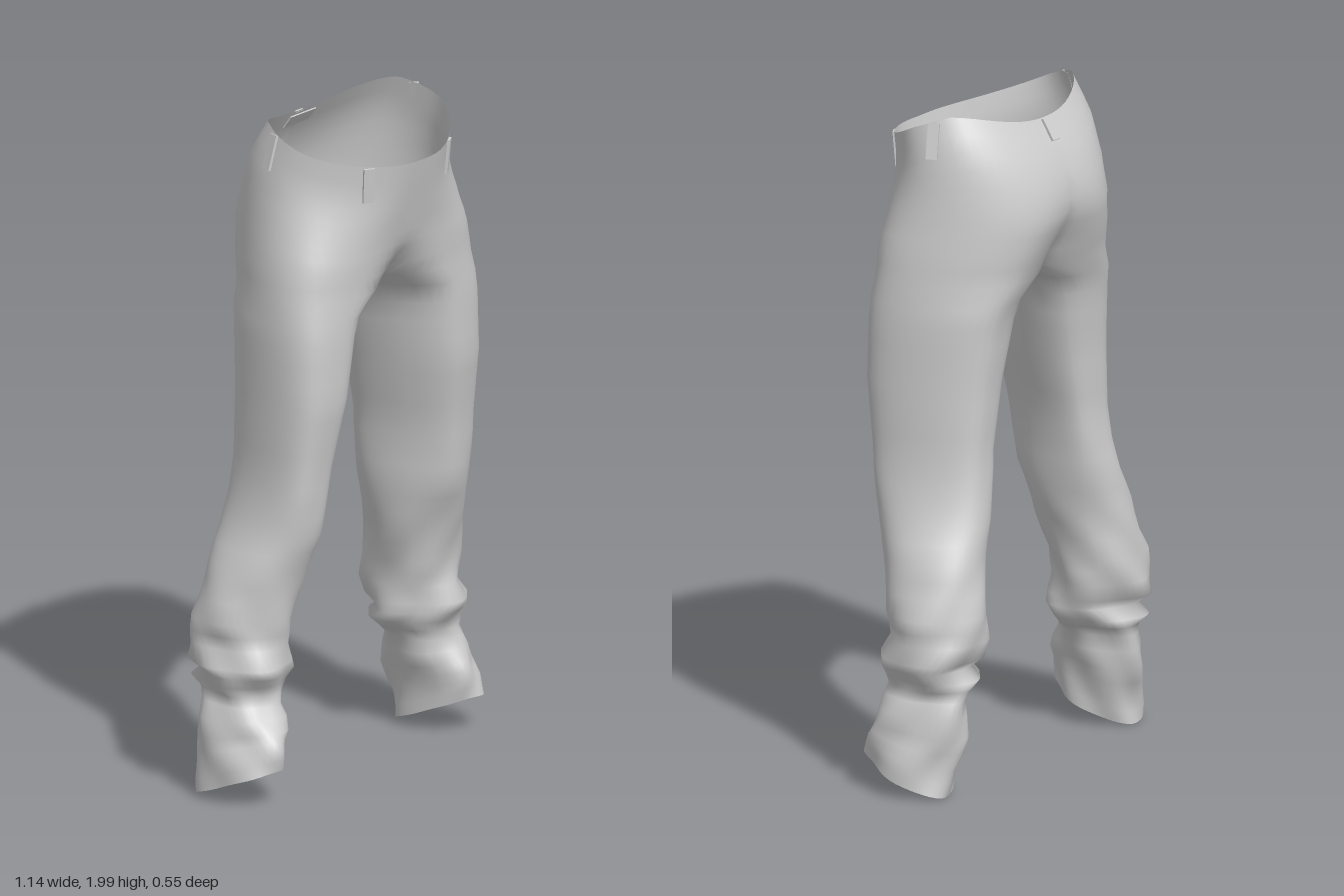
import * as THREE from 'three';
import { mergeVertices } from 'three/addons/utils/BufferGeometryUtils.js';

const OUTER = 32;   // segments from front seam round the outside to back seam
const INNER = 12;   // segments along the inseam side of a leg
const RING = OUTER + INNER;
const CROTCH = 1.5;
const { lerp, smoothstep } = THREE.MathUtils;

// Cross-sections: height, outer x, inner x, front z, back z
const KEYS = [
  [2.00, 0.343, -0.343, 0.272, -0.170],
  [1.90, 0.355, -0.310, 0.252, -0.232],
  [1.80, 0.366, -0.255, 0.236, -0.266],
  [1.70, 0.382, -0.185, 0.222, -0.274],
  [1.60, 0.402, -0.110, 0.214, -0.252],
  [CROTCH, 0.414, -0.040, 0.207, -0.222],
  [1.44, 0.421, 0.068, 0.206, -0.206],
  [1.38, 0.425, 0.103, 0.206, -0.192],
  [1.20, 0.427, 0.150, 0.202, -0.174],
  [1.00, 0.427, 0.198, 0.170, -0.166],
  [0.90, 0.436, 0.210, 0.160, -0.174],
  [0.80, 0.456, 0.218, 0.148, -0.190],
  [0.70, 0.500, 0.235, 0.112, -0.198],
  [0.60, 0.525, 0.258, 0.085, -0.210],
  [0.54, 0.545, 0.268, 0.072, -0.222],
  [0.46, 0.535, 0.278, 0.064, -0.228],
  [0.41, 0.562, 0.283, 0.088, -0.222],
  [0.38, 0.545, 0.282, 0.082, -0.178],
  [0.35, 0.538, 0.284, 0.062, -0.218],
  [0.32, 0.512, 0.315, 0.058, -0.195],
  [0.29, 0.520, 0.345, 0.066, -0.188],
  [0.25, 0.548, 0.336, 0.080, -0.192],
  [0.20, 0.545, 0.355, 0.100, -0.196],
  [0.13, 0.565, 0.372, 0.112, -0.168],
  [0.06, 0.570, 0.378, 0.112, -0.165],
];

// Subdivide the sections so the folds have enough rows
const ROWS = [KEYS[0]];
for (let k = 1; k < KEYS.length; k++) {
  const a = KEYS[k - 1], b = KEYS[k];
  const n = Math.ceil((a[0] - b[0]) / 0.061);
  for (let j = 1; j <= n; j++) ROWS.push(a.map((v, c) => lerp(v, b[c], j / n)));
}
const CROTCH_ROW = ROWS.findIndex((r) => Math.abs(r[0] - CROTCH) < 1e-6);

// Point i of a cross-section, for the leg on the given side (+1 or -1)
function sectionPoint(row, i, side) {
  const [level, xo, xi, zf, zb] = row;
  const hips = level > CROTCH - 1e-6;
  const cx = (xo + xi) / 2, w = (xo - xi) / 2;
  const start = Math.asin(Math.min(hips ? cx / w : 0.82, 1));
  const s = (i - OUTER) / INNER;
  const angle = i <= OUTER
    ? -start + (Math.PI + 2 * start) * (i / OUTER)
    : Math.PI + start + (Math.PI - 2 * start) * s;
  const c = Math.cos(angle), sn = Math.sin(angle);

  // Crumpled cloth towards the hem
  const amp = 0.05 * (1 - smoothstep(level, 0.35, 0.85));
  const seed = side * 0.9;
  const fold = 1 + amp * (Math.sin(3 * angle + level * 17 + seed)
    + 0.8 * Math.sin(5 * angle - level * 29 + 2 * seed));

  let x = cx + w * sn * fold;
  // Belly is filled out between the legs, the seat only partly
  const fill = smoothstep(level, 1.5, 1.72) * Math.exp(-((x / 0.1) ** 2)) * (c > 0 ? 1 : 0.5);
  const depth = lerp(c, Math.sign(c), fill);
  let z = (zf + zb) / 2 + (zf - zb) / 2 * depth * fold;
  // Thighs are fuller at the outer front and the inner back
  const skew = 0.075 * smoothstep(level, 0.65, 0.95) * (1 - smoothstep(level, 1.6, 1.95));
  z += skew * sn * Math.abs(sn) * (sn > 0 ? 1 : 1 - smoothstep(level, 1.4, 1.6));
  // Waist edge is drawn in beside the front
  z -= 0.05 * smoothstep(level, 1.75, 2) * sn * sn * Math.max(c, 0);
  let y = level;
  // Waist peaks behind the hips and dips at front and back
  const peak = c + 0.45;
  y -= smoothstep(level, 1.5, 1.98) * (peak > 0 ? 0.12 * peak / 1.45 : 0.05 * (peak / 0.55) ** 2);
  // Hem is raised at the front
  y += (1 - smoothstep(level, 0.06, 0.3)) * 0.053 * c;
  if (hips) {
    if (i === 0 || i >= OUTER) x = 0;
    if (i > OUTER) y -= 0.047 * Math.sin(Math.PI * s);   // crotch seam
  }
  return new THREE.Vector3(x * side, y, z);
}

function trouserGeometry() {
  const positions = [], index = [];
  for (const side of [1, -1]) {
    const base = positions.length / 3;
    for (const row of ROWS)
      for (let i = 0; i < RING; i++) positions.push(...sectionPoint(row, i, side).toArray());
    for (let r = 0; r < ROWS.length - 1; r++) {
      const count = r < CROTCH_ROW ? OUTER : RING;
      for (let i = 0; i < count; i++) {
        const j = (i + 1) % RING;
        const a = base + r * RING + i, b = base + r * RING + j;
        const c = a + RING, d = b + RING;
        if (side > 0) index.push(a, c, b, b, c, d);
        else index.push(a, b, c, b, d, c);
      }
    }
  }
  let geometry = new THREE.BufferGeometry();
  geometry.setAttribute('position', new THREE.Float32BufferAttribute(positions, 3));
  geometry.setIndex(index);
  geometry = mergeVertices(geometry, 1e-4);
  geometry.computeVertexNormals();
  return geometry;
}

// Thin belt loop lying on the cloth just below the waist edge
function beltLoop(i, side, length, material) {
  const top = sectionPoint(ROWS[0], i, side);
  const up = top.clone().sub(sectionPoint(ROWS[2], i, side));
  const across = i === OUTER
    ? new THREE.Vector3(-1, 0, 0)
    : sectionPoint(ROWS[0], i + 1, side).sub(sectionPoint(ROWS[0], i - 1, side)).multiplyScalar(side);
  const out = across.cross(up).normalize();
  const yAxis = new THREE.Vector3(0, 1, 0).addScaledVector(out, -out.y).normalize();
  const xAxis = yAxis.clone().cross(out);
  const mesh = new THREE.Mesh(new THREE.BoxGeometry(0.034, length, 0.008), material);
  mesh.quaternion.setFromRotationMatrix(new THREE.Matrix4().makeBasis(xAxis, yAxis, out));
  mesh.position.copy(top).addScaledVector(yAxis, -length / 2 - 0.005).addScaledVector(out, 0.003);
  mesh.name = 'beltLoop';
  return mesh;
}

export function createModel() {
  const model = new THREE.Group();
  model.name = 'trousers';
  const cloth = new THREE.MeshStandardMaterial({ color: 0xcccccc, side: THREE.DoubleSide });

  const body = new THREE.Mesh(trouserGeometry(), cloth);
  body.name = 'trouserCloth';
  model.add(body);

  // Two front, two side and one back loop
  const loops = new THREE.Group();
  loops.name = 'beltLoops';
  for (const side of [1, -1])
    for (const i of [6, 19]) loops.add(beltLoop(i, side, 0.105, cloth));
  loops.add(beltLoop(OUTER, 1, 0.07, cloth));
  model.add(loops);

  // Small patch inside the back of the waist
  const patch = new THREE.Mesh(new THREE.BoxGeometry(0.12, 0.045, 0.004), cloth);
  patch.name = 'innerPatch';
  patch.position.set(0, 1.925, -0.175);
  patch.rotation.x = 0.63;
  model.add(patch);

  return model;
}
